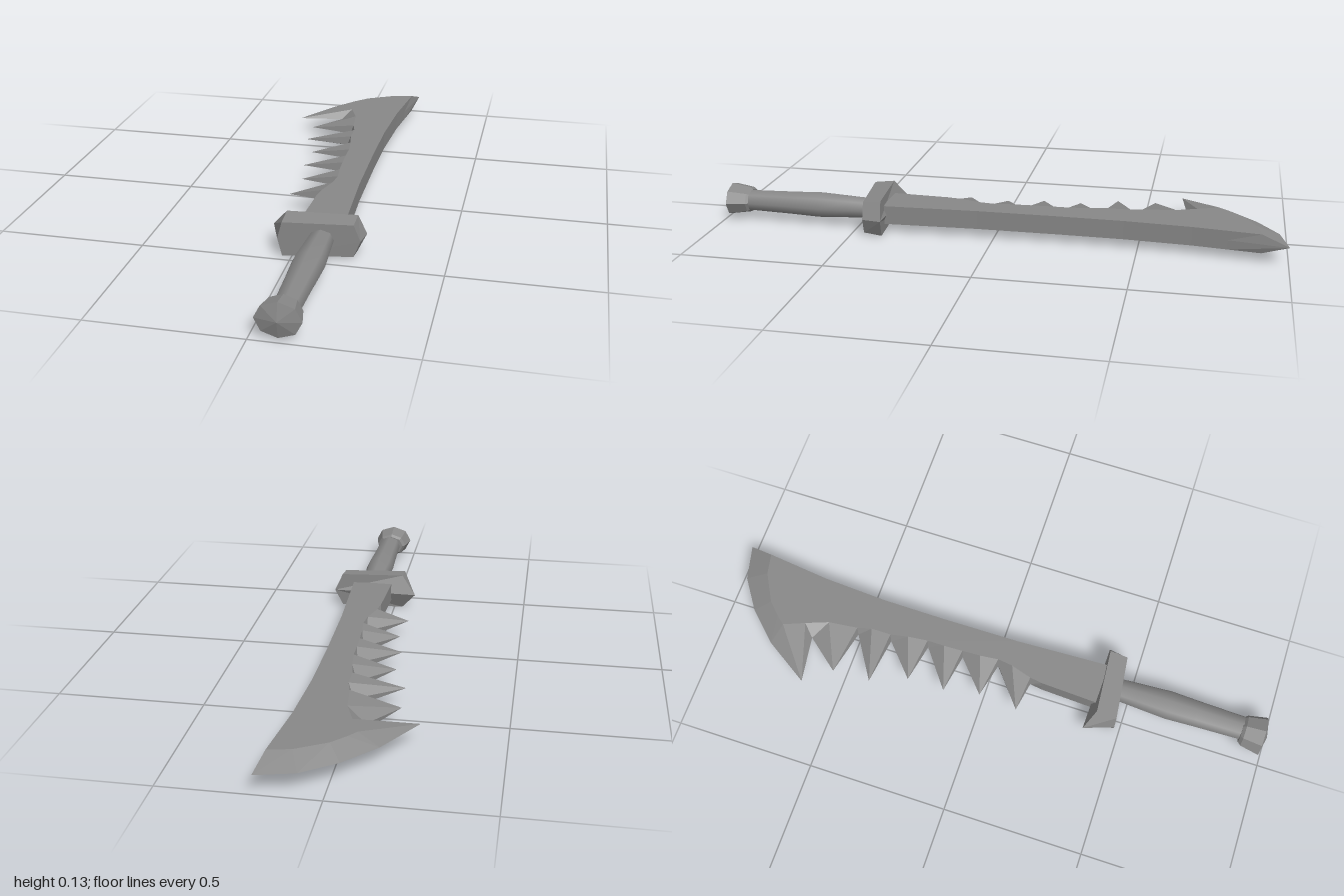
import * as THREE from 'three';

const MID = 0.066;   // height of the sword's middle plane
const HALF = 0.033;  // half thickness of the blade

// Flat-faceted geometry from a list of triangle corners
function faceted(points) {
  const geo = new THREE.BufferGeometry().setFromPoints(points);
  geo.computeVertexNormals();
  return geo;
}

function quad(out, a, b, c, d) {
  out.push(a, b, c, a, c, d);
}

// Rows are [edge x, edge z, face x, face z]; the face pair is left out where the side is upright
function bladeGeometry() {
  const rows = [
    // spine
    [0.16, 0.42], [0.145, 0.06], [0.143, -0.22], [0.145, -0.45], [0.158, -0.68], [0.172, -0.8],
    // curved cutting tip and horn
    [0.205, -1.0, 0.185, -0.91], [0.08, -0.97, 0.11, -0.895], [-0.03, -0.895, 0.01, -0.84],
    [-0.13, -0.79, -0.035, -0.795], [-0.232, -0.63, -0.06, -0.765], [-0.065, -0.655, -0.03, -0.69],
  ];
  // teeth: tip x, tip z, ridge x, ridge z, then the notch below
  const teeth = [
    [-0.16, -0.537, 0.0, -0.61, 0.0, -0.5],
    [-0.155, -0.402, 0.025, -0.455, 0.013, -0.378],
    [-0.105, -0.272, 0.037, -0.32, 0.033, -0.243],
    [-0.105, -0.138, 0.045, -0.185, 0.035, -0.112],
    [-0.08, -0.01, 0.05, -0.05, 0.045, 0.02],
    [-0.092, 0.13, 0.05, 0.07, 0.015, 0.15],
  ];
  for (const [tx, tz, rx, rz, nx, nz] of teeth) {
    rows.push([tx, tz, rx, rz], [nx, nz, nx + 0.012, nz - 0.005]);
  }
  rows.push([0.02, 0.19], [0.01, 0.42]);

  const edge = rows.map(r => new THREE.Vector3(r[0], MID, r[1]));
  const flat = rows.map(r => new THREE.Vector2(r[2] ?? r[0], -(r[3] ?? r[1])));
  const top = flat.map(p => new THREE.Vector3(p.x, MID + HALF, -p.y));
  const bottom = flat.map(p => new THREE.Vector3(p.x, MID - HALF, -p.y));
  const out = [];
  rows.forEach((_, i) => {
    const j = (i + 1) % rows.length;
    quad(out, edge[i], edge[j], top[j], top[i]);
    quad(out, edge[j], edge[i], bottom[i], bottom[j]);
  });
  for (const [a, b, c] of THREE.ShapeUtils.triangulateShape(flat, [])) {
    out.push(top[a], top[b], top[c], bottom[a], bottom[c], bottom[b]);
  }
  return faceted(out);
}

// Six-sided guard lofted between a front and a back outline
function guardGeometry() {
  const v = (x, y, z) => new THREE.Vector3(x, y, z);
  const front = [
    v(0.222, 0.066, 0.45), v(0.2, 0.123, 0.452), v(-0.03, 0.123, 0.478),
    v(-0.045, 0.066, 0.48), v(-0.03, 0.005, 0.478), v(0.2, 0.011, 0.452),
  ];
  const back = [
    v(0.232, 0.066, 0.383), v(0.202, 0.131, 0.388), v(-0.03, 0.132, 0.406),
    v(-0.083, 0.066, 0.375), v(-0.03, 0.001, 0.406), v(0.202, 0.004, 0.388),
  ];
  const out = [];
  for (let i = 0; i < 6; i++) {
    const j = (i + 1) % 6;
    quad(out, front[i], back[i], back[j], front[j]);
  }
  for (let i = 1; i < 5; i++) {
    out.push(front[0], front[i], front[i + 1], back[0], back[i + 1], back[i]);
  }
  return faceted(out);
}

// Eight-sided turned part lying along z, slightly wider than tall
function turned(profile, widen, x) {
  const geo = new THREE.LatheGeometry(profile.map(p => new THREE.Vector2(...p)), 8);
  return geo.rotateX(Math.PI / 2).scale(widen, 1, 1).translate(x, MID, 0);
}

export function createModel() {
  const group = new THREE.Group();
  const steel = new THREE.MeshStandardMaterial({ color: 0x888888 });
  steel.name = 'grey steel';
  const add = (name, geo) => {
    const mesh = new THREE.Mesh(geo, steel);
    mesh.name = name;
    group.add(mesh);
  };

  add('blade', bladeGeometry());
  add('guard', guardGeometry());
  add('handle', turned([[0.036, 0.44], [0.041, 0.53], [0.047, 0.64], [0.043, 0.74], [0.038, 0.92]], 1.14, 0.095));

  // pommel with crisp facets
  const pommel = turned([[0, 0.905], [0.039, 0.907], [0.047, 0.918], [0.058, 0.985], [0, 1.0]], 1.24, 0.088).toNonIndexed();
  pommel.computeVertexNormals();
  add('pommel', pommel);
  return group;
}
